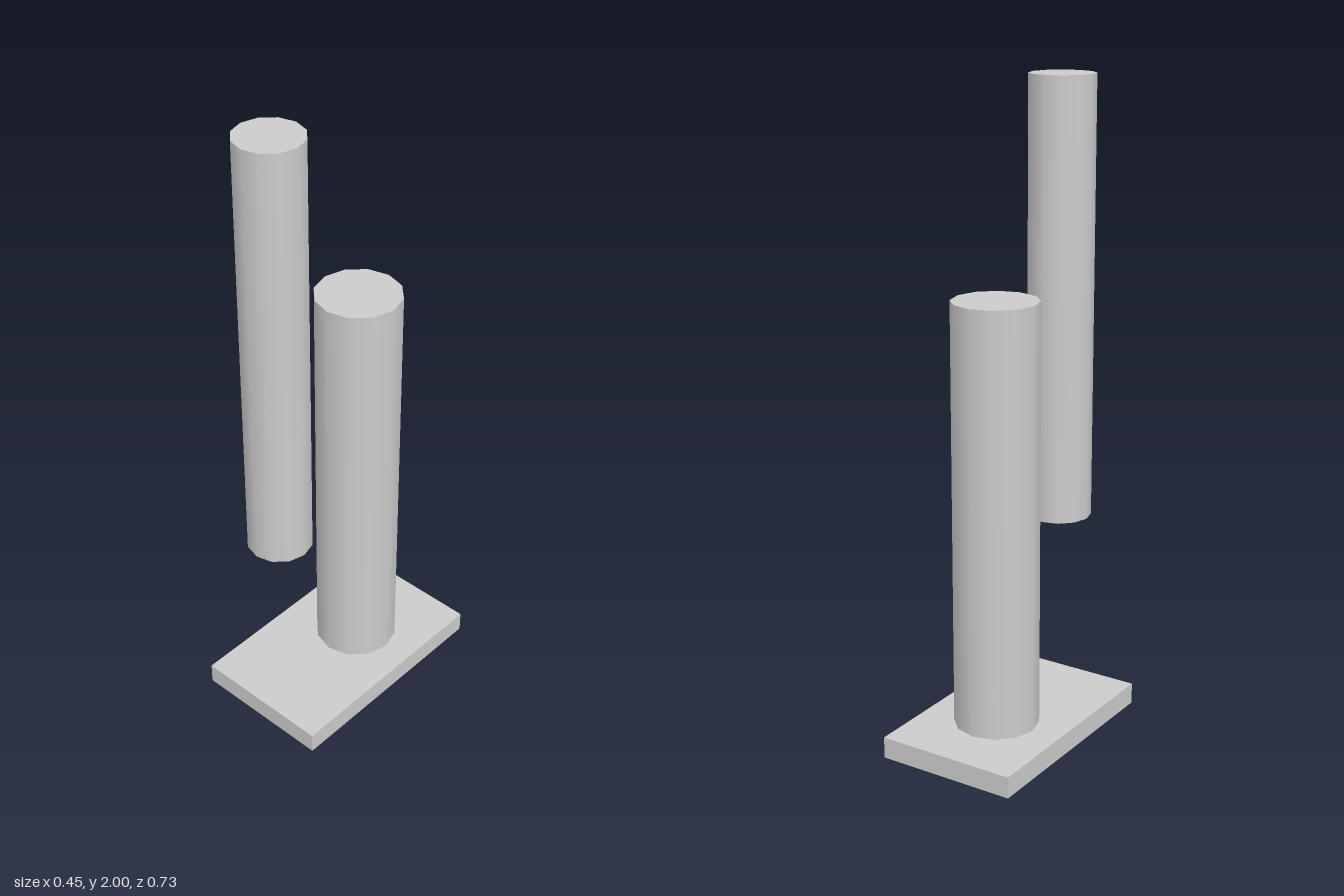
import * as THREE from 'three';

const SIDES = 12;

export function createModel() {
  const model = new THREE.Group();
  const material = new THREE.MeshStandardMaterial({ color: 0xcccccc });

  const add = (name, geometry, x, y, z) => {
    const mesh = new THREE.Mesh(geometry, material);
    mesh.name = name;
    mesh.position.set(x, y, z);
    model.add(mesh);
  };

  // Upright rod with smooth sides, spanning bottom to top
  const addRod = (name, radius, bottom, top, x, z) =>
    add(name, new THREE.CylinderGeometry(radius, radius, top - bottom, SIDES),
      x, (bottom + top) / 2, z);

  // Flat rectangular foot
  const baseHeight = 0.067;
  add('basePlate', new THREE.BoxGeometry(0.446, baseHeight, 0.728), 0, baseHeight / 2, 0);

  // Thick post standing on the plate
  addRod('post', 0.131, baseHeight, 1.385, 0.003, -0.083);

  // Thinner rod floating in front of the post
  addRod('raisedRod', 0.1, 0.65, 2, -0.018, 0.239);

  return model;
}
